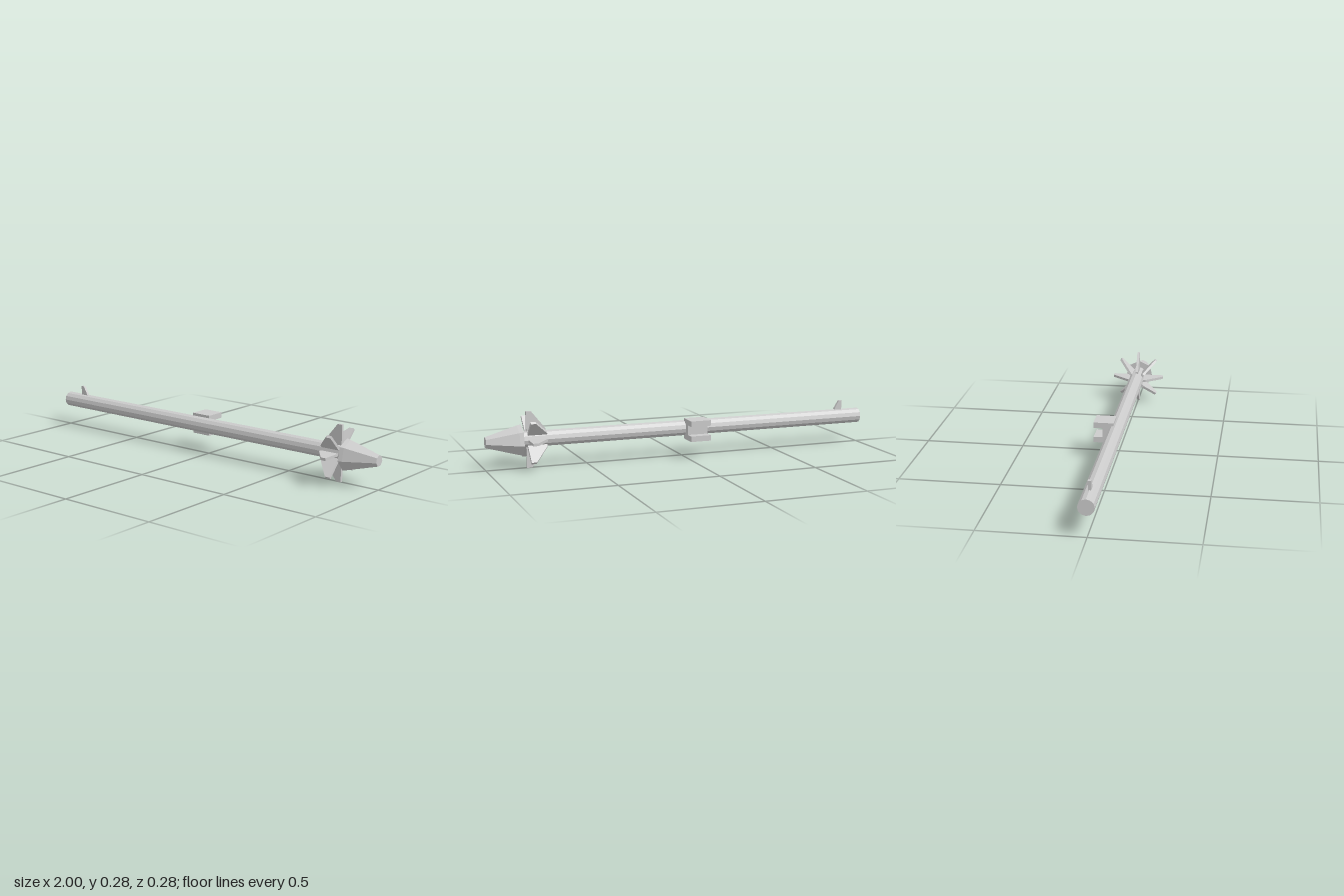
import * as THREE from 'three';

const material = new THREE.MeshStandardMaterial({ color: 0xcccccc, flatShading: true });
const AXIS_Y = 0.138;

function add(parent, geometry, name, x = 0, y = 0, z = 0) {
  const mesh = new THREE.Mesh(geometry, material);
  mesh.name = name;
  mesh.position.set(x, y, z);
  parent.add(mesh);
  return mesh;
}

// Flat plate cut in the xy plane, centred on z = 0
function plate(points, thickness) {
  const shape = new THREE.Shape(points.map(([x, y]) => new THREE.Vector2(x, y)));
  return new THREE.ExtrudeGeometry(shape, { depth: thickness, bevelEnabled: false })
    .translate(0, 0, -thickness / 2);
}

// Solid of revolution along x, from [x, radius] pairs, with one corner at the top
function turned(profile, sides) {
  const points = profile.map(([x, r]) => new THREE.Vector2(r, x));
  return new THREE.LatheGeometry(points, sides)
    .rotateY(-Math.PI / 2)
    .rotateZ(-Math.PI / 2);
}

export function createModel() {
  const model = new THREE.Group();
  model.name = 'finnedTube';

  // Long tube with closed ends
  add(model, turned([[-1, 0], [-1, 0.039], [0.83, 0.039], [0.83, 0]], 12),
    'tube', 0, 0.141, -0.004);

  // Seven-sided tapered head
  add(model, turned([[0.825, 0], [0.825, 0.077], [0.845, 0.073], [1, 0.027], [1, 0]], 7),
    'head', 0, AXIS_Y, 0);

  // Ring of eight swept fins
  const fins = new THREE.Group();
  fins.name = 'fins';
  fins.position.y = AXIS_Y;
  const fin = plate([[0.705, 0.027], [0.8, 0.027], [0.8, 0.138], [0.775, 0.138], [0.705, 0.05]], 0.013);
  for (let i = 0; i < 8; i++) {
    add(fins, fin, 'fin').rotation.x = i * Math.PI / 4;
  }
  model.add(fins);

  // Channel bracket on the back, open away from the tube
  const bracket = new THREE.Group();
  bracket.name = 'bracket';
  bracket.position.set(-0.062, 0.139, 0);
  for (const side of [-1, 1]) {
    add(bracket, new THREE.BoxGeometry(0.106, 0.028, 0.1), 'bracketFlange', 0, side * 0.038, -0.063);
  }
  add(bracket, new THREE.BoxGeometry(0.106, 0.05, 0.055), 'bracketWeb', 0, 0, -0.041);
  model.add(bracket);

  // Small slanted blade on top of the rear end
  add(model, plate([[-0.902, 0.175], [-0.86, 0.175], [-0.865, 0.188], [-0.888, 0.225], [-0.905, 0.225]], 0.014),
    'rearBlade', 0, 0, -0.004);

  return model;
}
